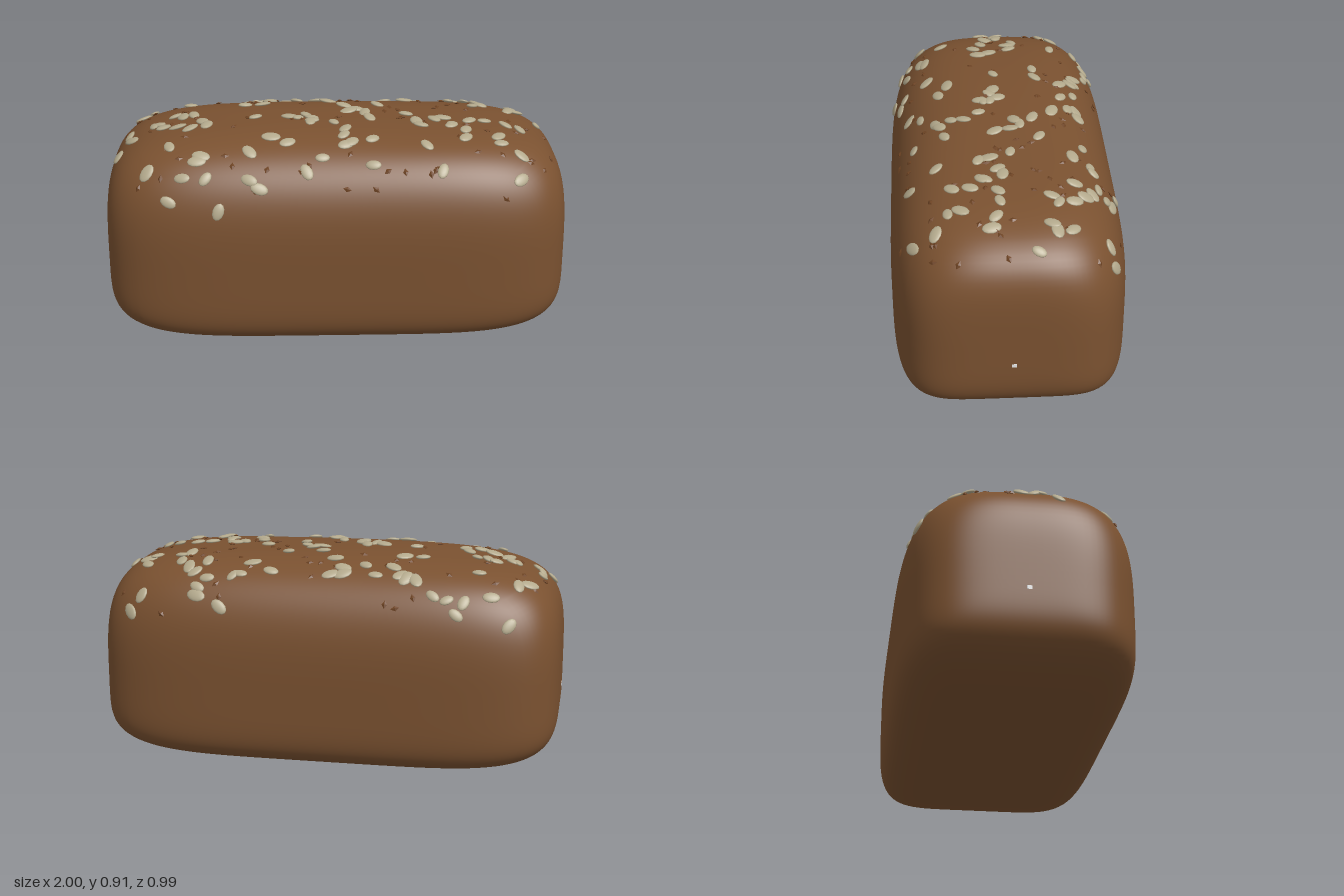
import * as THREE from 'three';
import { mergeVertices, mergeGeometries } from 'three/addons/utils/BufferGeometryUtils.js';

const TOP = 0.53, BASE = 0.36, HALF_DEPTH = 0.495;   // heights above and below the widest level
const P_TOP = 3.15, P_BASE = 6, P_ENDS = 4.8;        // roundness of crown, base and ends

function seeded(seed) {
  return () => {
    seed = (seed * 1664525 + 1013904223) % 4294967296;
    return seed / 4294967296;
  };
}

// soft baked unevenness, fading in towards the crown
function bump(x, z, v) {
  return v <= 0 ? 0 : 0.006 * v * v * (Math.sin(5 * x + 2.2) * Math.cos(5 * z) - 0.6 * x * x);
}

// point on the crown above (x, z)
function crown(x, z) {
  const r = Math.pow(Math.max(1 - Math.pow(Math.abs(x), P_ENDS), 0), 1 / P_ENDS);
  const s = Math.pow(r, P_TOP) - Math.pow(Math.abs(z) / HALF_DEPTH, P_TOP);
  const v = s > 0 ? Math.pow(s, 1 / P_TOP) : 0;
  return new THREE.Vector3(x, BASE + TOP * v + bump(x, z, v), z);
}

function crownNormal(x, z) {
  const e = 0.004;
  const dx = crown(x + e, z).sub(crown(x - e, z));
  const dz = crown(x, z + e).sub(crown(x, z - e));
  return dz.cross(dx).normalize();
}

// rounded loaf: a cube pushed out to a super-ellipsoid
function loafGeometry() {
  let g = new THREE.BoxGeometry(2, 2, 2, 56, 36, 36);
  g.deleteAttribute('uv');
  g.deleteAttribute('normal');
  g = mergeVertices(g);
  const p = g.attributes.position;
  for (let i = 0; i < p.count; i++) {
    const u = p.getX(i), v = p.getY(i), w = p.getZ(i);
    const q = v > 0 ? P_TOP : P_BASE;
    const section = Math.pow(Math.pow(Math.abs(v), q) + Math.pow(Math.abs(w), q), 1 / q);
    const f = Math.pow(Math.pow(Math.abs(u), P_ENDS) + Math.pow(section, P_ENDS), 1 / P_ENDS);
    const x = u / f, t = v / f, z = w / f * HALF_DEPTH;
    p.setXYZ(i, x, BASE + t * (t > 0 ? TOP : BASE) + bump(x, z, t), z);
  }
  g.computeVertexNormals();
  return g;
}

// lay a copy of a unit shape flat on the crown
function layOn(shape, x, z, size, lift, rand) {
  const n = crownNormal(x, z);
  n.x += (rand() - 0.5) * 0.3;
  n.z += (rand() - 0.5) * 0.3;
  const turn = new THREE.Quaternion().setFromUnitVectors(new THREE.Vector3(0, 1, 0), n.normalize());
  turn.multiply(new THREE.Quaternion().setFromAxisAngle(new THREE.Vector3(0, 1, 0), rand() * Math.PI));
  const at = crown(x, z).addScaledVector(n, lift);
  return shape.clone().applyMatrix4(new THREE.Matrix4().compose(at, turn, size));
}

// seed spots on the crown, x and z in hundredths
const SPOTS = [
  -86, -23, -79, -42, -65, -26, -60, -41, -53, -41, -35, -34, -40, -16, -67, -6, -90, 4, -94, 13, -75, 4,
  -63, 10, -56, 8, -35, 2, -22, -33, -17, -27, -8, -33, -3, -22, 4, -13, 6, -5, 13, -3, -13, 1, -20, 3,
  -11, 9, -1, 10, 19, -15, 23, -33, 32, -28, 39, -36, 43, -45, 50, -37, 56, -34, 52, -27, 31, -2, 35, 7,
  47, 2, 50, 11, 65, 4, 80, 8, 74, 6, 90, -10, 80, -24, 78, -16, 83, -41, 64, -26, 62, -17, -80, 35,
  -71, 25, -65, 40, -59, 35, -37, 32, -37, 42, -28, 23, -21, 27, -13, 40, 3, 22, 6, 27, 15, 25, 38, 29,
  44, 40, 55, 23, 70, 25, 78, 30, 77, 39, -50, 47, 15, 38,
];

export function createModel() {
  const model = new THREE.Group();
  const crust = new THREE.MeshStandardMaterial({ name: 'brown crust', color: 0x7a5130 });
  const cream = new THREE.MeshStandardMaterial({ name: 'cream seed', color: 0xb3a98c });
  const dark = new THREE.MeshStandardMaterial({ name: 'dark flake', color: 0x6e4424, flatShading: true });
  const white = new THREE.MeshStandardMaterial({ name: 'white speck', color: 0xffffff });
  const rand = seeded(17);

  const add = (name, geometry, material) => {
    const mesh = new THREE.Mesh(geometry, material);
    mesh.name = name;
    model.add(mesh);
    return mesh;
  };

  add('loaf', loafGeometry(), crust);

  // large oval seeds: main spots, then loose extras
  const oval = new THREE.SphereGeometry(1, 12, 8);
  const spots = [];
  for (let i = 0; i < SPOTS.length; i += 2) spots.push([SPOTS[i] / 100, SPOTS[i + 1] / 100]);
  for (let i = 0; i < 45; i++) {
    const [x, z] = spots[Math.floor(rand() * 66)];
    spots.push([
      THREE.MathUtils.clamp(x + (rand() - 0.5) * 0.16, -0.93, 0.93),
      THREE.MathUtils.clamp(z + (rand() - 0.5) * 0.14, -0.44, 0.44),
    ]);
  }
  const onCrown = ([x, z]) => crown(x, z).y > 0.58;
  const seeds = spots.filter(onCrown).map(([x, z]) => {
    const k = 0.85 + rand() * 0.3;
    return layOn(oval, x, z, new THREE.Vector3(0.037 * k, 0.009, 0.024 * k), 0.004, rand);
  });
  add('seeds', mergeGeometries(seeds), cream);

  // small diamond flakes
  const diamond = new THREE.OctahedronGeometry(1);
  const flakes = [];
  while (flakes.length < 95) {
    const spot = [(rand() * 2 - 1) * 0.93, (rand() * 2 - 1) * 0.45];
    if (!onCrown(spot)) continue;
    flakes.push(layOn(diamond, spot[0], spot[1], new THREE.Vector3(0.019, 0.006, 0.012), 0.003, rand));
  }
  add('flakes', mergeGeometries(flakes), dark);

  // tiny specks at the middle of each end
  for (const side of [-1, 1]) {
    add('endSpeck', new THREE.BoxGeometry(0.006, 0.016, 0.02), white).position.set(side * 0.999, 0.31, 0);
  }
  return model;
}
